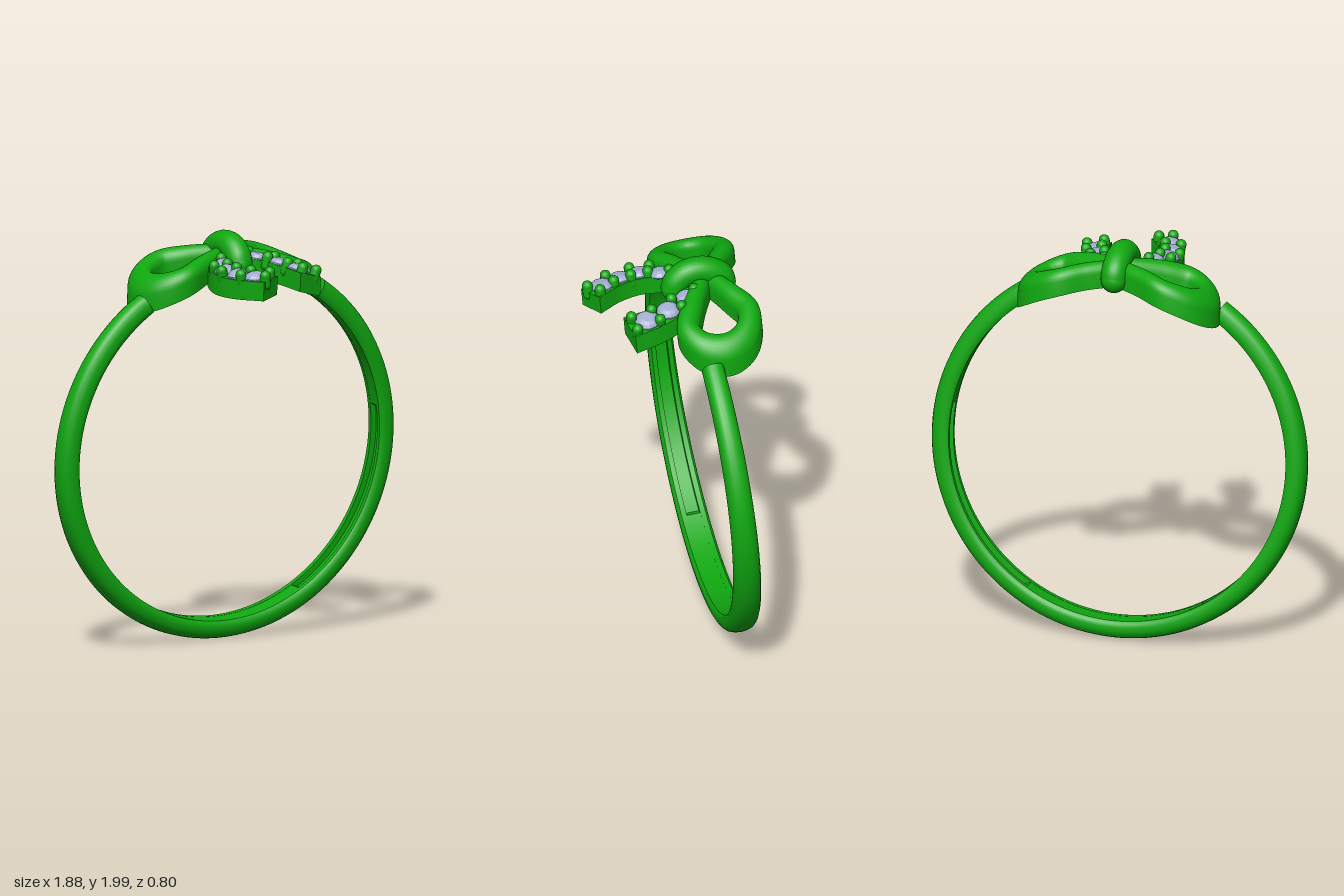
import * as THREE from 'three';
import { toCreasedNormals } from 'three/addons/utils/BufferGeometryUtils.js';

const GREEN = new THREE.MeshStandardMaterial({ color: 0x10a810 });
const STONE = new THREE.MeshStandardMaterial({ color: 0xa3aed0, flatShading: true });
const TOP_Z = 0.105; // offset that lines top parts up with the tilted ring
const V2 = (p) => new THREE.Vector2(p[0], p[1]);

// Skin a closed profile (m points) along n sections; at(i, j) gives each point.
function loft(n, m, at, profile) {
  const pos = [], idx = [];
  for (let i = 0; i < n; i++) for (let j = 0; j < m; j++) pos.push(...at(i, j));
  for (let i = 0; i < n - 1; i++) {
    for (let j = 0; j < m; j++) {
      const k = (j + 1) % m, a = i * m + j, b = i * m + k;
      idx.push(a, b, b + m, a, b + m, a + m);
    }
  }
  // end caps
  const end = (n - 1) * m;
  for (const t of THREE.ShapeUtils.triangulateShape(profile.map(V2), [])) {
    const [a, b, c] = [...t].sort((p, q) => p - q);
    idx.push(c, b, a, end + a, end + b, end + c);
  }
  // turn the faces outward
  const P = (i) => new THREE.Vector3().fromArray(pos, i * 3);
  let volume = 0;
  for (let i = 0; i < idx.length; i += 3) volume += P(idx[i]).dot(P(idx[i + 1]).cross(P(idx[i + 2])));
  if (volume < 0) idx.reverse();
  const g = new THREE.BufferGeometry();
  g.setAttribute('position', new THREE.Float32BufferAttribute(pos, 3));
  g.setIndex(idx);
  return toCreasedNormals(g, 0.6);
}

// Put a plan position (x, z) on the cylinder of radius r around the ring axis.
const onRing = (x, z, r) => [x, Math.sqrt(r * r - x * x), z + TOP_Z];

// Ribbon bent over the ring: plan path, profile of (side, radius), side scale along it.
function ribbon(path, profile, scale, n = 64, from = 0, to = 1) {
  const curve = new THREE.CatmullRomCurve3(path.map(([x, z]) => new THREE.Vector3(x, 0, z)));
  return loft(n, profile.length, (i, j) => {
    const t = from + (to - from) * i / (n - 1);
    const p = curve.getPointAt(t), d = curve.getTangentAt(t);
    const u = profile[j][0] * scale(t);
    return onRing(p.x - d.z * u, p.z + d.x * u, profile[j][1]);
  }, profile);
}

function add(parent, name, geometry, material = GREEN) {
  const mesh = new THREE.Mesh(geometry, material);
  mesh.name = name;
  parent.add(mesh);
  return mesh;
}

// Band: D-shaped section, wider at the bottom, with a slot inside each flank.
function bandGeometry() {
  const section = (g) => [
    [-0.8, 0], [-0.45, 0], [-0.45, g], [0.45, g], [0.45, 0], [0.8, 0],
    [0.95, 0.12], [1, 0.3], [0.97, 0.55], [0.85, 0.75], [0.65, 0.89], [0.35, 0.97], [0, 1],
    [-0.35, 0.97], [-0.65, 0.89], [-0.85, 0.75], [-0.97, 0.55], [-1, 0.3], [-0.95, 0.12],
  ];
  const n = 181, start = 123, sweep = 294, profile = section(0.01);
  return loft(n, profile.length, (i, j) => {
    const a = THREE.MathUtils.degToRad(start + sweep * i / (n - 1));
    const s = Math.sin(a), slot = s > -0.85 && s < 0.14;
    const [u, v] = section(slot ? 0.3 : 0.01)[j];
    const r = 0.845 + 0.095 * v;
    return [r * Math.cos(a), r * s, u * (0.0635 - 0.0115 * s)];
  }, profile);
}

// Round-topped bow section, hollow underneath
function loopProfile() {
  const w = 0.058, p = [[-w, 0.85]];
  for (let k = 0; k <= 12; k++) {
    const a = Math.PI * (1 - k / 12);
    p.push([w * Math.cos(a), 0.92 + 0.055 * Math.sin(a)]);
  }
  p.push([w, 0.85], [0.03, 0.85], [0.03, 0.925], [-0.03, 0.925], [-0.03, 0.85]);
  return p;
}

export function createModel() {
  const model = new THREE.Group();
  model.name = 'bowRing';

  // Everything that follows the tilted ring
  const ring = new THREE.Group();
  ring.name = 'ring';
  ring.position.set(0, 0.945, -0.18);
  ring.rotation.x = 0.084;
  model.add(ring);
  add(ring, 'band', bandGeometry());

  // Bow loops
  for (const side of [1, -1]) {
    const path = [[0.03, -0.23], [0.15, -0.29], [0.27, -0.345], [0.39, -0.3], [0.44, -0.2],
      [0.41, -0.09], [0.32, -0.037], [0.2, -0.08], [0.03, -0.17]].map(([x, z]) => [side * x, z]);
    add(ring, side > 0 ? 'leftLoop' : 'rightLoop',
      ribbon(path, loopProfile(), (t) => 0.75 + 0.27 * Math.sin(Math.PI * t), 96));
  }

  // Tails with stones [x, z, radius] and prongs [x, z]
  const tails = [
    {
      name: 'rightTail',
      path: [[-0.04, -0.12], [-0.12, -0.03], [-0.16, 0.1], [-0.135, 0.23], [-0.065, 0.355]],
      stones: [[-0.115, 0, 0.05], [-0.16, 0.092, 0.053], [-0.15, 0.193, 0.053], [-0.11, 0.29, 0.057]],
      prongs: [[-0.1, -0.045], [-0.185, 0.035], [-0.125, 0.055], [-0.2, 0.13], [-0.125, 0.14],
        [-0.17, 0.255], [-0.1, 0.23], [-0.1, 0.36], [-0.045, 0.31]],
    },
    {
      name: 'leftTail',
      path: [[0.05, -0.14], [0.135, -0.06], [0.2, 0.06], [0.235, 0.235]],
      stones: [[0.125, -0.075, 0.052], [0.185, 0.03, 0.057], [0.22, 0.143, 0.06]],
      prongs: [[0.095, -0.12], [0.13, 0], [0.19, -0.035], [0.175, 0.11], [0.245, 0.085],
        [0.195, 0.215], [0.275, 0.205]],
    },
  ];
  const trough = [[-0.062, 0.843], [-0.062, 0.935], [0.062, 0.935], [0.062, 0.843],
    [0.04, 0.843], [0.04, 0.895], [-0.04, 0.895], [-0.04, 0.843]];
  const prong = new THREE.CapsuleGeometry(0.026, 0.045, 6, 14);
  for (const { name, path, stones, prongs } of tails) {
    const tail = new THREE.Group();
    tail.name = name;
    ring.add(tail);
    const widen = (t) => 0.8 + 0.28 * t;
    add(tail, 'tailRibbon', ribbon(path, trough, widen, 40));
    add(tail, 'tailEnd', ribbon(path, trough.slice(0, 4), widen, 4, 0.94, 1));
    const seat = (mesh, x, z, r) => {
      mesh.position.set(...onRing(x, z, r));
      mesh.rotation.z = -Math.asin(x / r);
    };
    for (const [x, z, r] of stones) {
      const cut = [[0, -0.04], [r, 0], [r, 0.006], [0.8 * r, 0.02], [0.5 * r, 0.028], [0, 0.028]];
      seat(add(tail, 'stone', new THREE.LatheGeometry(cut.map(V2), 12), STONE), x, z, 0.934);
    }
    for (const [x, z] of prongs) seat(add(tail, 'prong', prong), x, z, 0.935);
  }

  // Bars joining the bow underneath
  for (const z of [-0.24, -0.13]) {
    const bar = add(ring, 'supportBar', new THREE.CapsuleGeometry(0.022, 0.2, 6, 12));
    bar.rotation.z = Math.PI / 2;
    bar.position.set(...onRing(0, z, 0.885));
  }

  // Knot arching over the middle
  const knot = new THREE.Group();
  knot.name = 'knot';
  model.add(knot);
  const arch = new THREE.CatmullRomCurve3([[1.85, -0.04], [1.885, -0.052], [1.925, -0.1],
    [1.936, -0.165], [1.92, -0.225], [1.885, -0.27], [1.85, -0.28]].map(([y, z]) => new THREE.Vector3(0, y, z)));
  add(knot, 'knotArch', new THREE.TubeGeometry(arch, 40, 0.064, 24));
  for (const t of [0, 1]) {
    add(knot, 'knotEnd', new THREE.SphereGeometry(0.064, 24, 16)).position.copy(arch.getPoint(t));
  }
  return model;
}
